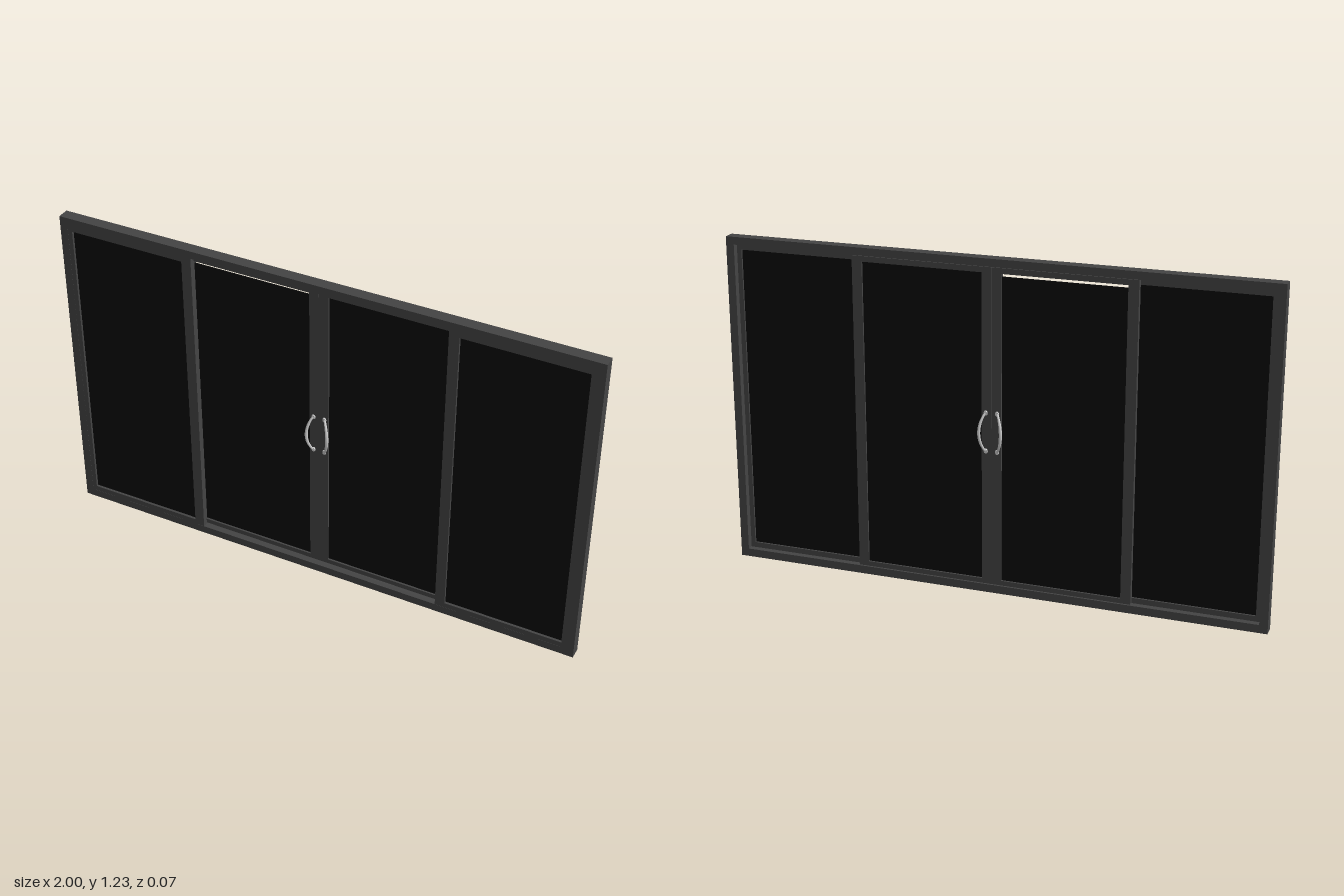
import * as THREE from 'three';

const dark = new THREE.MeshStandardMaterial({ color: 0x444444 });
const black = new THREE.MeshStandardMaterial({ color: 0x0a0a0a });
const grey = new THREE.MeshStandardMaterial({ color: 0xcccccc });

// Rectangular ring: outer and inner rectangles [x0, y0, x1, y1], from z0 to z1
function ring(name, o, i, z0, z1) {
  const rect = (T, [x0, y0, x1, y1]) => new T([
    new THREE.Vector2(x0, y0), new THREE.Vector2(x1, y0),
    new THREE.Vector2(x1, y1), new THREE.Vector2(x0, y1)]);
  const shape = rect(THREE.Shape, o);
  shape.holes.push(rect(THREE.Path, i));
  const geo = new THREE.ExtrudeGeometry(shape, { depth: z1 - z0, bevelEnabled: false });
  geo.translate(0, 0, z0);
  const mesh = new THREE.Mesh(geo, dark);
  mesh.name = name;
  return mesh;
}

function pane(name, x0, y0, x1, y1, z) {
  const mesh = new THREE.Mesh(new THREE.BoxGeometry(x1 - x0, y1 - y0, 0.004), black);
  mesh.position.set((x0 + x1) / 2, (y0 + y1) / 2, z);
  mesh.name = name;
  return mesh;
}

// Bowed pull handle leaning outwards, thicker in the middle, with two feet
function handle(name, side, face) {
  const g = new THREE.Group();
  g.name = name;
  const at = (y, out) => new THREE.Vector3(side * (0.02 + 0.02 * out), y, face * (0.008 + 0.02 * out));
  const curve = new THREE.CatmullRomCurve3([
    at(0.532, 0), at(0.548, 0.42), at(0.575, 0.84), at(0.606, 1),
    at(0.637, 0.84), at(0.664, 0.42), at(0.68, 0)]);
  const rings = 32, sides = 12;
  const geo = new THREE.TubeGeometry(curve, rings, 0.0055, sides);
  const p = geo.attributes.position, v = new THREE.Vector3();
  for (let i = 0; i <= rings; i++) {
    const c = curve.getPointAt(i / rings);
    const s = 0.65 + 0.35 * Math.sin(Math.PI * i / rings);
    for (let j = 0; j <= sides; j++) {
      const k = i * (sides + 1) + j;
      v.fromBufferAttribute(p, k).sub(c).multiplyScalar(s).add(c);
      p.setXYZ(k, v.x, v.y, v.z);
    }
  }
  geo.computeVertexNormals();
  const grip = new THREE.Mesh(geo, grey);
  grip.name = 'grip';
  g.add(grip);
  for (const y of [0.536, 0.676]) {
    const foot = new THREE.Mesh(new THREE.CylinderGeometry(0.006, 0.008, 0.005, 16), grey);
    foot.rotation.x = face * Math.PI / 2;
    foot.position.set(side * 0.021, y, face * 0.0105);
    foot.scale.z = 1.3;
    foot.name = 'foot';
    g.add(foot);
  }
  return g;
}

export function createModel() {
  const model = new THREE.Group();
  model.name = 'slidingDoor';
  const H = 1.225;

  // Outer frame
  model.add(ring('outerFrame', [-1, 0, 1, H], [-0.97, 0.03, 0.97, 1.197], -0.012, 0.032));

  for (const s of [-1, 1]) {
    const side = s > 0 ? 'left' : 'right';
    // Mirrors a rectangle in x for the other half
    const m = (x0, y0, x1, y1) => s > 0 ? [x0, y0, x1, y1] : [-x1, y0, -x0, y1];

    // Fixed panel, flush with the front of the frame
    model.add(ring(side + 'FixedPanel', m(0.475, 0.03, 0.97, 1.197), m(0.512, 0.05, 0.953, 1.175), 0.011, 0.0315));
    model.add(pane(side + 'FixedGlass', ...m(0.512, 0.05, 0.953, 1.175), 0.02));

    // Sliding panel, on the inner track
    model.add(ring(side + 'SlidingPanel', m(0.0005, 0.032, 0.515, 1.195), m(0.036, 0.05, 0.478, 1.175), -0.009, 0.009));
    // One sliding pane stops just short of the top rail
    model.add(pane(side + 'SlidingGlass', ...m(0.036, 0.05, 0.478, s > 0 ? 1.175 : 1.164), 0));

    // Handles on both faces
    model.add(handle(side + 'FrontHandle', s, 1), handle(side + 'BackHandle', s, -1));
  }
  return model;
}
